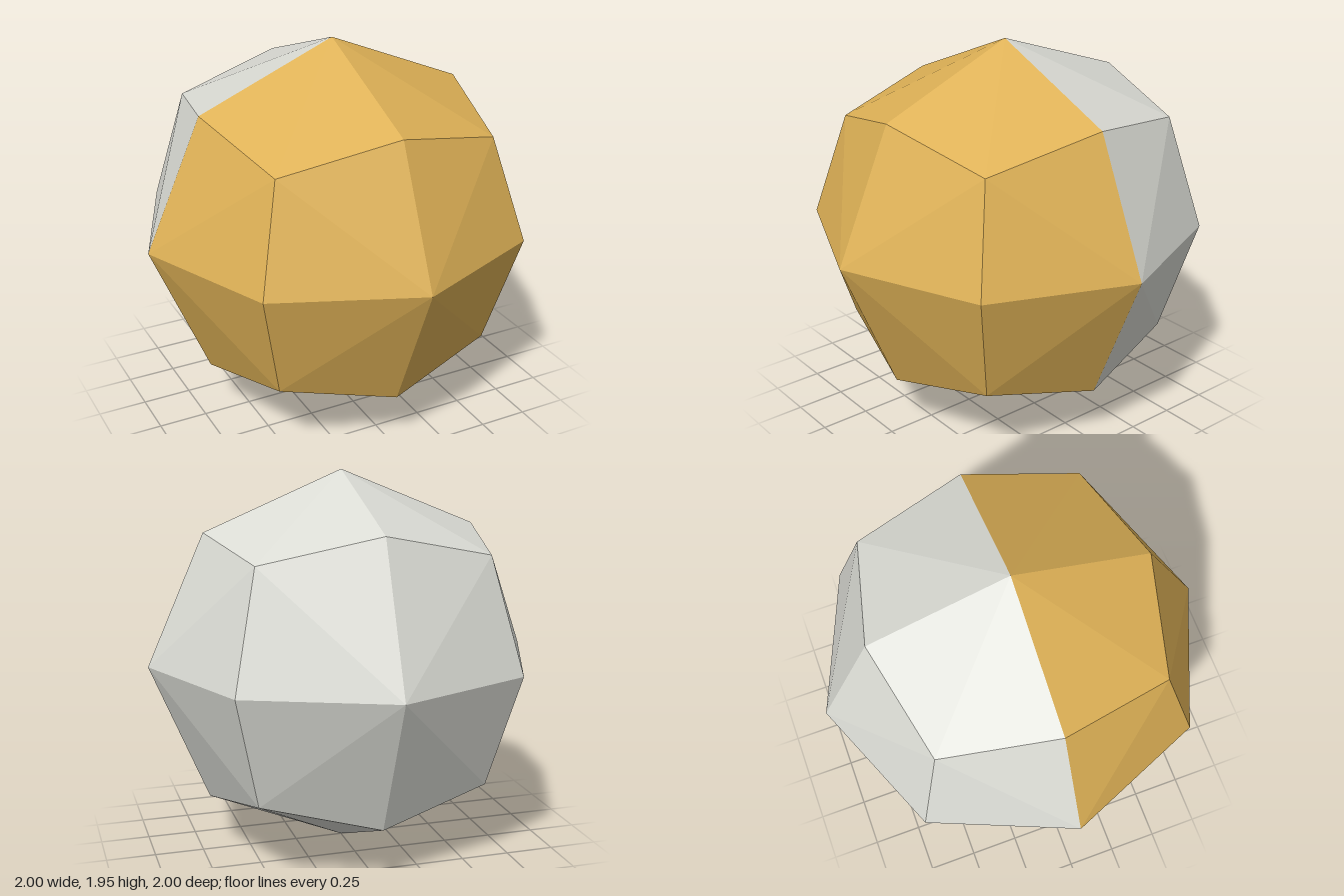
import * as THREE from 'three';

const gold = new THREE.MeshStandardMaterial({ color: 0xdeb156 });
gold.name = 'gold';
const grey = new THREE.MeshStandardMaterial({ color: 0xdbdcd5 });
grey.name = 'paleGrey';

// Point on the faceted ball in a given direction; the front of the crown sits slightly lower
function ballPoint(x, y, z) {
  const p = new THREE.Vector3(x, y, z).normalize();
  if (y > 0 && z >= 0) p.y -= 0.048;
  p.y += 1;
  return p;
}

// Half a ball of kite-shaped facets: three kites in each of four octants
function halfBall(sz) {
  const positions = [];
  for (const sx of [-1, 1]) {
    for (const sy of [-1, 1]) {
      const s = [sx, sy, sz];
      const corner = ballPoint(...s);
      for (let axis = 0; axis < 3; axis++) {
        const next = (axis + 1) % 3;
        const last = (axis + 2) % 3;
        const at = (...axes) => ballPoint(...s.map((v, i) => (axes.includes(i) ? v : 0)));
        const kite = [at(axis), at(axis, next), corner, at(axis, last)];
        // Mirrored octants need the opposite winding
        if (sx * sy * sz < 0) kite.reverse();
        // Split along the line from the axis point to the corner
        const i = sx * sy * sz < 0 ? 3 : 0;
        for (const [a, b] of [[1, 2], [2, 3]]) {
          for (const k of [i, (i + a) % 4, (i + b) % 4]) positions.push(...kite[k].toArray());
        }
      }
    }
  }
  const geometry = new THREE.BufferGeometry();
  geometry.setAttribute('position', new THREE.Float32BufferAttribute(positions, 3));
  geometry.computeVertexNormals();
  return geometry;
}

export function createModel() {
  const group = new THREE.Group();
  group.name = 'facetedBall';

  // Gold front and pale back
  for (const [name, side, material] of [['frontHalf', 1, gold], ['backHalf', -1, grey]]) {
    const mesh = new THREE.Mesh(halfBall(side), material);
    mesh.name = name;
    group.add(mesh);
  }
  return group;
}
